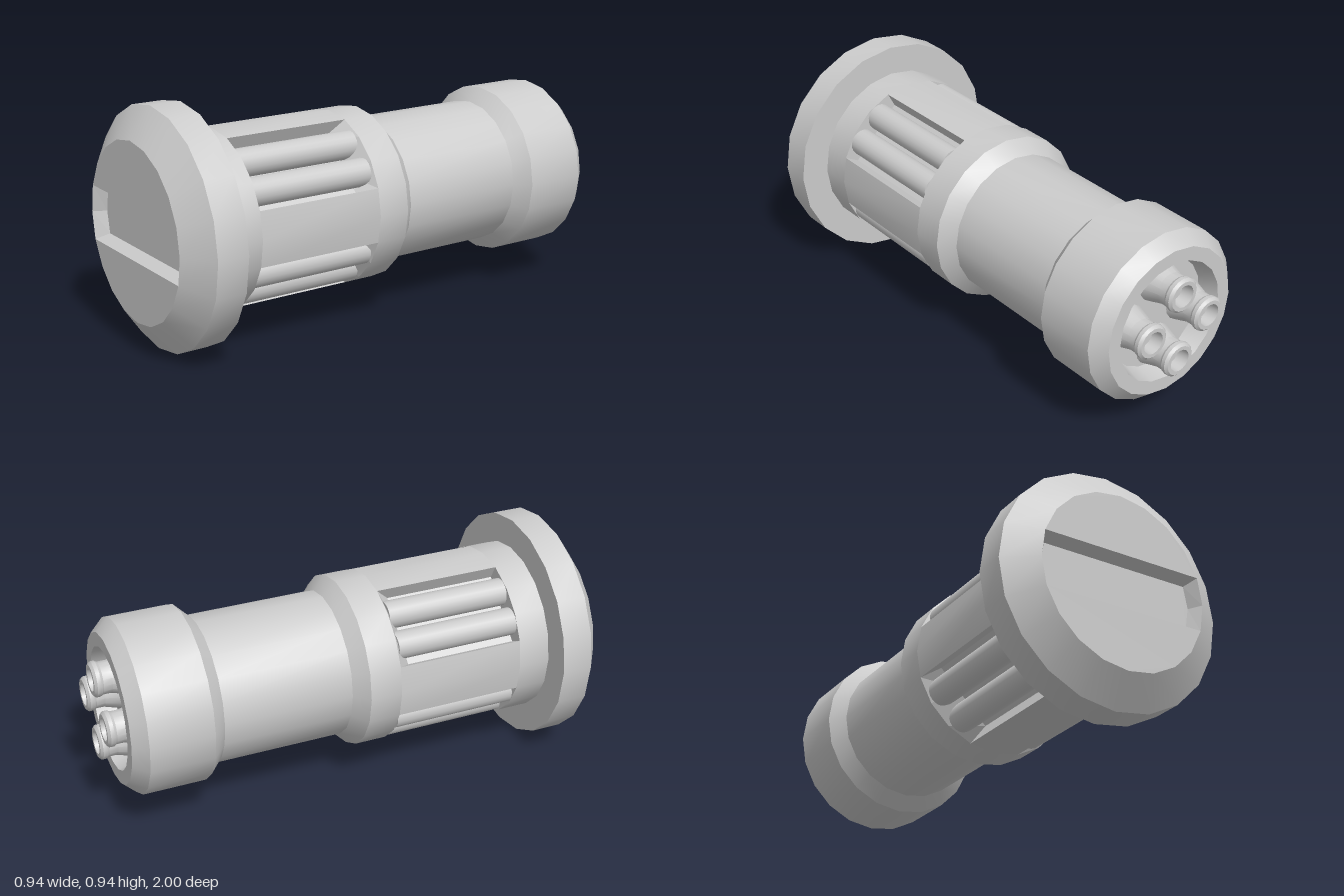
import * as THREE from 'three';
import { toCreasedNormals } from 'three/addons/utils/BufferGeometryUtils.js';

const SIDES = 20;
const R = 0.35; // main body radius
const STEP = (Math.PI * 2) / SIDES;
const material = new THREE.MeshStandardMaterial({ color: 0xcccccc });

function mesh(name, geometry) {
  const m = new THREE.Mesh(geometry, material);
  m.name = name;
  return m;
}

// Turned solid along z; the profile is [radius, z] running from back to front
function turned(name, profile, sides = SIDES, start = 0, sweep = Math.PI * 2) {
  const points = profile.map(([r, z]) => new THREE.Vector2(r, z));
  const g = new THREE.LatheGeometry(points, sides, start, sweep).rotateX(Math.PI / 2);
  return mesh(name, toCreasedNormals(g, 0.45));
}

// Recess with sloping walls between two matching loops, counter-clockwise from outside
function recess(name, outer, inner) {
  const pos = [];
  const n = outer.length;
  for (let i = 0; i < n; i++) {
    const j = (i + 1) % n;
    pos.push(...outer[i], ...outer[j], ...inner[j], ...outer[i], ...inner[j], ...inner[i]);
    if (i > 0 && i < n - 1) pos.push(...inner[0], ...inner[i], ...inner[j]);
  }
  const g = new THREE.BufferGeometry();
  g.setAttribute('position', new THREE.Float32BufferAttribute(pos, 3));
  g.computeVertexNormals();
  return mesh(name, g);
}

const rim = (k, r = R) => [r * Math.cos(k * STEP), r * Math.sin(k * STEP)];

// Flat front face with a slot across the middle
function frontFace() {
  const group = new THREE.Group();
  group.name = 'frontFace';
  for (const first of [1, 11]) {
    const shape = new THREE.Shape();
    for (let k = 0; k <= 8; k++) {
      const [x, y] = rim(first + k);
      k ? shape.lineTo(x, y) : shape.moveTo(x, y);
    }
    group.add(mesh('facePlate', new THREE.ShapeGeometry(shape).translate(0, 0, 1)));
  }
  const corners = [-1, 0, 1, 9, 10, 11];
  group.add(recess('slot',
    corners.map((k) => [...rim(k), 1]),
    corners.map((k) => {
      const [x, y] = rim(k);
      return [x * 0.92, y * 0.81, 0.95];
    })));
  return group;
}

// Recessed window holding two half-buried rods, built facing +x
function sideWindow(zBack, zFront) {
  const group = new THREE.Group();
  group.name = 'sideWindow';
  const ks = [-1.5, -0.5, 0.5, 1.5];
  const back = ks.map((k) => [...rim(k), zBack]);
  const front = ks.map((k) => [...rim(k), zFront]).reverse();
  const outer = [...back, ...front];
  const inner = outer.map(([, y, z]) => [0.25, y * 0.88, z === zBack ? zBack + 0.06 : zFront]);
  group.add(recess('windowRecess', outer, inner));
  for (const side of [-1, 1]) {
    const length = zFront - zBack - 0.01;
    const rod = mesh('windowRod', new THREE.CylinderGeometry(0.056, 0.056, length, 20).rotateX(Math.PI / 2));
    rod.position.set(0.283, side * 0.0635, (zFront + zBack) / 2 + 0.005);
    group.add(rod);
  }
  return group;
}

export function createModel() {
  const model = new THREE.Group();
  model.name = 'plugHandle';
  const body = new THREE.Group();
  body.name = 'body';
  body.position.y = 0.472;
  model.add(body);

  const zBack = 0.135, zFront = 0.66;

  // Flange and the collar behind it
  body.add(turned('flange', [[R, zFront], [R, 0.79], [0.47, 0.79], [0.47, 0.915], [R, 1]]));
  body.add(frontFace());

  // Narrow neck and rear head with a hollow end
  body.add(turned('neckAndHead', [
    [0, -0.86], [0.225, -0.86], [0.245, -0.94], [0.3, -0.94], [R, -0.885],
    [R, -0.63], [0.295, -0.575], [0.295, -0.05], [R, 0.005], [R, zBack],
  ]));

  // Grip: four solid strips alternating with four windows
  for (let i = 0; i < 4; i++) {
    const turn = (i * Math.PI) / 2;
    body.add(turned('gripStrip', [[R, zBack], [R, zFront]], 2, turn - STEP, STEP * 2));
    const win = sideWindow(zBack, zFront);
    win.rotation.z = turn + Math.PI / 4;
    body.add(win);
  }

  // Four hollow contacts in the rear end
  for (let i = 0; i < 4; i++) {
    const pin = turned('rearContact', [
      [0, -0.95], [0.04, -0.95], [0.045, -1], [0.06, -1], [0.07, -0.99],
      [0.07, -0.975], [0.064, -0.965], [0.064, -0.93], [0.085, -0.86],
    ], 16);
    pin.position.set(0.14 * Math.cos((i * Math.PI) / 2), 0.14 * Math.sin((i * Math.PI) / 2), 0);
    body.add(pin);
  }
  return model;
}
